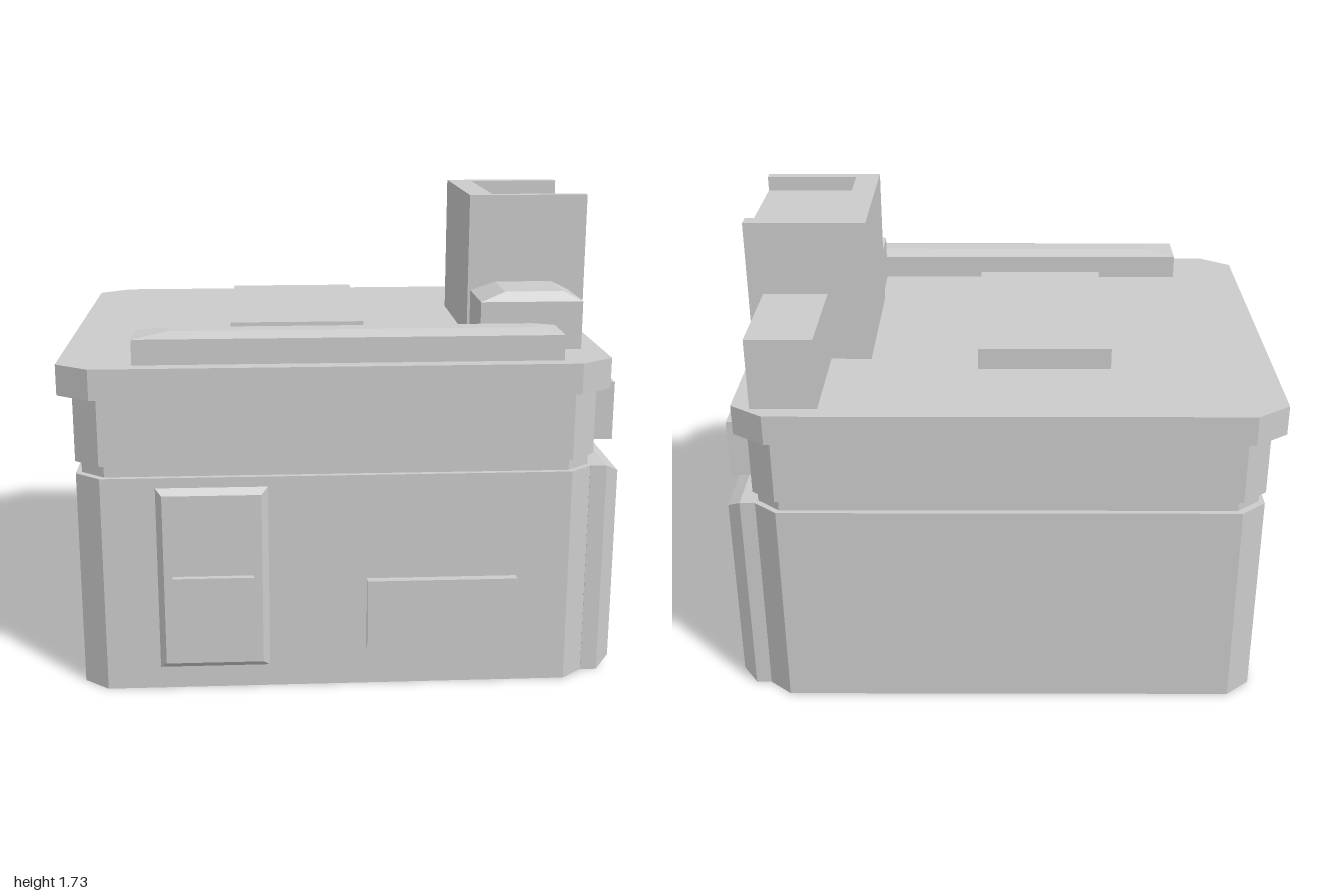
import * as THREE from 'three';

const material = new THREE.MeshStandardMaterial({ color: 0xcccccc, flatShading: true });

function add(group, name, geometry) {
  const mesh = new THREE.Mesh(geometry, material);
  mesh.name = name;
  group.add(mesh);
  return mesh;
}

// Box given by its limits on each axis
function box(x0, x1, y0, y1, z0, z1) {
  return new THREE.BoxGeometry(x1 - x0, y1 - y0, z1 - z0)
    .translate((x0 + x1) / 2, (y0 + y1) / 2, (z0 + z1) / 2);
}

const shapeOf = (points) => new THREE.Shape(points.map(([x, y]) => new THREE.Vector2(x, y)));
const rect = (u0, u1, v0, v1) => [[u0, v0], [u1, v0], [u1, v1], [u0, v1]];

function extrude(points, depth, hole) {
  const shape = shapeOf(points);
  if (hole) shape.holes.push(shapeOf(hole.slice().reverse()));
  return new THREE.ExtrudeGeometry(shape, { depth, bevelEnabled: false });
}

// Horizontal slab with its four corners cut off
function slab(x0, x1, y0, y1, z, cx, cz) {
  const outline = [
    [x0 + cx, -z], [x1 - cx, -z], [x1, -z + cz], [x1, z - cz],
    [x1 - cx, z], [x0 + cx, z], [x0, z - cz], [x0, -z + cz],
  ];
  return extrude(outline, y1 - y0).rotateX(-Math.PI / 2).translate(0, y0, 0);
}

// Panel whose outer face is drawn in by the insets [left, right, bottom, top]
function panel(u0, u1, v0, v1, depth, [l, r, b, t], hole) {
  const geometry = extrude(rect(u0, u1, v0, v1), depth, hole);
  const p = geometry.attributes.position;
  const near = (a, c) => Math.abs(a - c) < 1e-4;
  for (let i = 0; i < p.count; i++) {
    if (!near(p.getZ(i), depth)) continue;
    const u = p.getX(i), v = p.getY(i);
    p.setXY(i,
      near(u, u0) ? u + l : near(u, u1) ? u - r : u,
      near(v, v0) ? v + b : near(v, v1) ? v - t : v);
  }
  geometry.computeVertexNormals();
  return geometry;
}

// Turns an extrusion so that it grows toward +x, starting at x0 (u becomes -z)
const sideways = (geometry, x0) => geometry.rotateY(Math.PI / 2).translate(x0, 0, 0);
// Turns an extrusion so that it grows upward, starting at y0 (v becomes -z)
const upward = (geometry, y0) => geometry.rotateX(-Math.PI / 2).translate(0, y0, 0);

export function createModel() {
  const model = new THREE.Group();
  model.name = 'building';

  // Walls and roof
  add(model, 'lowerWalls', slab(-0.95, 0.9, 0, 0.8, 0.765, 0.09, 0.075));
  add(model, 'wallGroove', slab(-0.93, 0.885, 0.8, 0.845, 0.745, 0.085, 0.07));
  add(model, 'upperWalls', slab(-0.95, 0.9, 0.845, 1.09, 0.765, 0.09, 0.075));
  add(model, 'roof', slab(-1, 0.945, 1.09, 1.2, 0.795, 0.12, 0.085));

  // Front door with a sunken window, and the wall box beside it
  add(model, 'frontDoor', panel(-0.67, -0.27, 0.08, 0.765, 0.025,
    [0.025, 0.025, 0.025, 0.025], rect(-0.615, -0.325, 0.43, 0.71)).translate(0, 0, 0.763));
  add(model, 'wallBox', box(0.08, 0.62, 0.145, 0.41, 0.76, 0.797));

  // Pair of large side doors with sunken windows
  const gates = new THREE.Group();
  gates.name = 'sideDoors';
  model.add(gates);
  add(gates, 'doorBacking', box(0.89, 0.95, 0, 0.8, -0.695, 0.7));
  add(gates, 'frontSideDoor', sideways(panel(-0.7, -0.02, 0, 0.8, 0.05,
    [0.038, 0, 0.04, 0.03], rect(-0.56, -0.13, 0.44, 0.715)), 0.95));
  add(gates, 'rearSideDoor', sideways(panel(0.008, 0.695, 0, 0.8, 0.05,
    [0, 0.038, 0.04, 0.03], rect(0.11, 0.555, 0.44, 0.715)), 0.95));
  add(gates, 'doorSeam', extrude(
    [[0.9, 0], [0.94, 0], [0.985, 0.04], [0.985, 0.77], [0.94, 0.8], [0.9, 0.8]], 0.028)
    .translate(0, 0, -0.008));
  add(model, 'signBoard', box(0.89, 0.99, 0.87, 1.085, -0.61, 0.6));

  // Long rail along the front of the roof
  add(model, 'roofRail', box(-0.735, 0.77, 1.19, 1.29, 0.56, 0.74));
  add(model, 'roofRailCap', upward(panel(-0.735, 0.77, -0.74, -0.56, 0.018,
    [0.125, 0.095, 0.055, 0.055]), 1.29));

  // Flat roof panel and rear box
  add(model, 'roofPanel', box(-0.4, 0.09, 1.19, 1.28, -0.4, 0.405));
  add(model, 'rearRoofBox', box(0.64, 0.875, 1.19, 1.46, -0.735, -0.3));

  // Small roof unit with a sloped cap
  add(model, 'roofUnit', box(0.5, 0.87, 1.19, 1.375, 0.3, 0.56));
  add(model, 'roofUnitCap', upward(panel(0.5, 0.87, -0.56, -0.307, 0.035,
    [0.09, 0.07, 0.018, 0.018]), 1.375));

  // Tower with a tray in the top, open to the side, and a sunken side panel
  const tower = new THREE.Group();
  tower.name = 'tower';
  model.add(tower);
  const profile = [
    [-0.305, 1.19], [0.31, 1.19], [0.31, 1.73], [0.255, 1.73],
    [0.255, 1.675], [-0.265, 1.675], [-0.265, 1.73], [-0.305, 1.73],
  ];
  add(tower, 'towerInnerWall', box(0.49, 0.58, 1.19, 1.73, -0.31, 0.305));
  add(tower, 'towerCore', sideways(extrude(profile, 0.3), 0.58));
  add(tower, 'towerSideFrame', sideways(extrude(profile, 0.05, rect(-0.25, 0.23, 1.22, 1.655)), 0.88));

  return model;
}
